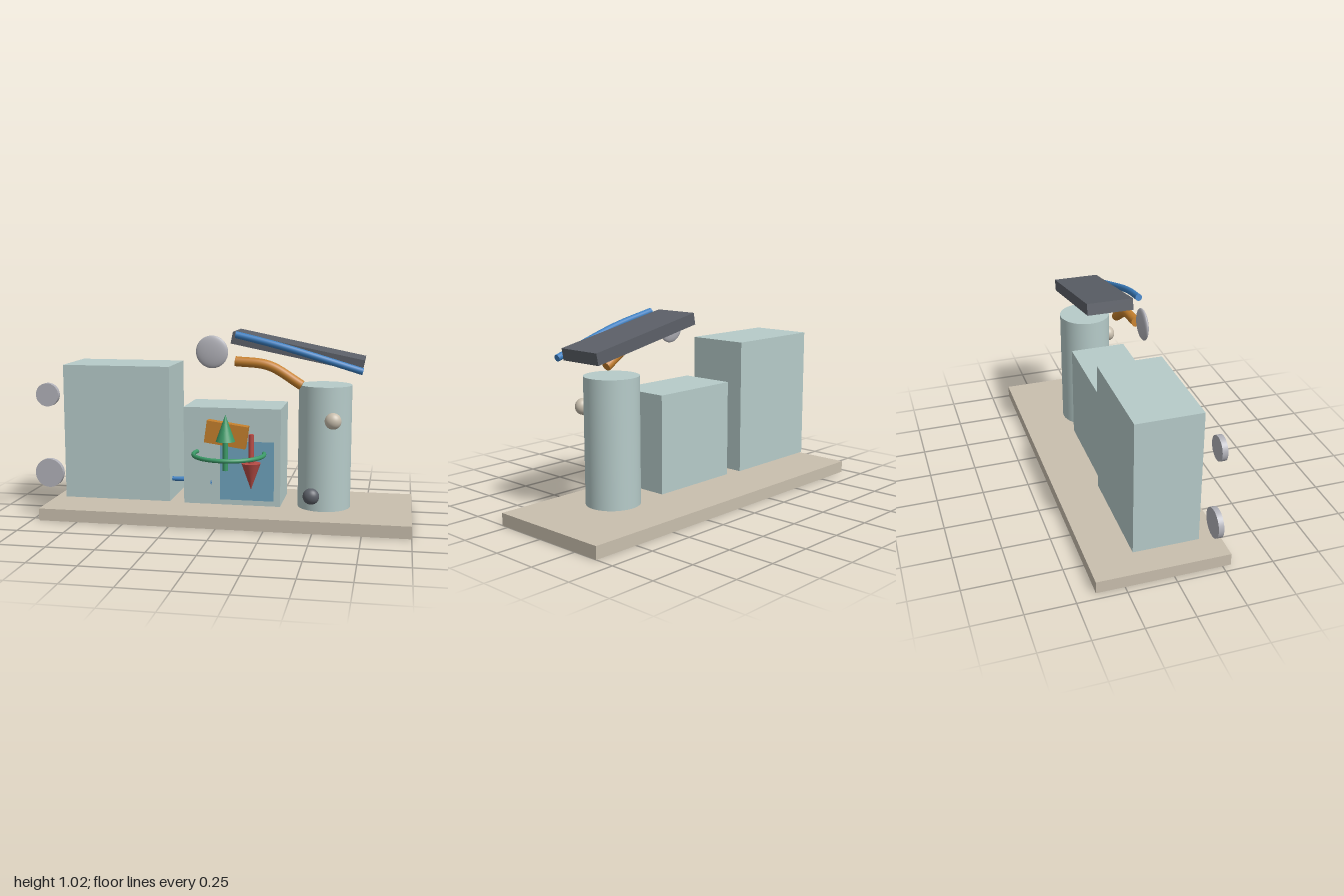
import * as THREE from 'three';

const mat = (name, color) => {
  const m = new THREE.MeshStandardMaterial({ color });
  m.name = name;
  return m;
};

export function createModel() {
  const root = new THREE.Group();
  root.name = 'model';

  const sand = mat('sand', 0xc9bfae);
  const paleTeal = mat('paleTeal', 0xb6cbc9);
  const slate = mat('slate', 0x5c6068);
  const grey = mat('grey', 0xb2b2b9);
  const cream = mat('cream', 0xc9bfae);
  const blue = mat('blue', 0x3c7fc0);
  const orange = mat('orange', 0xc47f2c);
  const green = mat('green', 0x3c9a68);
  const red = mat('red', 0xb84c46);
  const steelBlue = mat('steelBlue', 0x6fa3bd);

  const add = (name, geo, material, x = 0, y = 0, z = 0, parent = root) => {
    const m = new THREE.Mesh(geo, material);
    m.name = name;
    m.position.set(x, y, z);
    parent.add(m);
    return m;
  };

  // Box given by its extents
  const block = (name, material, x0, x1, y0, y1, z0, z1) =>
    add(name, new THREE.BoxGeometry(x1 - x0, y1 - y0, z1 - z0), material,
      (x0 + x1) / 2, (y0 + y1) / 2, (z0 + z1) / 2);

  // Arrow along +y, tail at the group origin
  const arrow = (name, material, shaft, head, headRadius, shaftRadius) => {
    const g = new THREE.Group();
    g.name = name;
    add(name + 'Shaft', new THREE.CylinderGeometry(shaftRadius, shaftRadius, shaft, 24), material, 0, shaft / 2, 0, g);
    add(name + 'Head', new THREE.ConeGeometry(headRadius, head, 32), material, 0, shaft + head / 2, 0, g);
    root.add(g);
    return g;
  };

  // Bent rod with closed ends
  const rod = (name, material, points, radius) => {
    const curve = new THREE.CatmullRomCurve3(points.map(p => new THREE.Vector3(...p)));
    const g = new THREE.Group();
    g.name = name;
    add(name + 'Body', new THREE.TubeGeometry(curve, 32, radius, 20), material, 0, 0, 0, g);
    for (const [t, sign] of [[0, -1], [1, 1]]) {
      const p = curve.getPoint(t);
      const cap = add(name + 'End', new THREE.CircleGeometry(radius, 20), material, p.x, p.y, p.z, g);
      cap.quaternion.setFromUnitVectors(new THREE.Vector3(0, 0, 1), curve.getTangent(t).multiplyScalar(sign));
    }
    root.add(g);
  };

  // Base and the three standing bodies
  block('base', sand, -0.96, 1.0, 0, 0.065, -0.395, 0.293);
  block('largeBox', paleTeal, -0.85, -0.27, 0.105, 0.825, -0.177, 0.164);
  block('smallBox', paleTeal, -0.195, 0.32, 0.098, 0.615, -0.148, 0.152);
  add('cylinder', new THREE.CylinderGeometry(0.14, 0.14, 0.655, 64), paleTeal, 0.535, 0.4025, -0.012);

  // Thin panel on the front of the small box
  block('frontPanel', steelBlue, 0, 0.286, 0.125, 0.44, 0.149, 0.1528);

  // Tilted roof slab
  add('slab', new THREE.BoxGeometry(0.69, 0.062, 0.25), slate, 0.394, 0.911, -0.005).rotation.z = -0.198;

  // Tilted block on the small box
  add('tiltedBlock', new THREE.BoxGeometry(0.218, 0.117, 0.085), orange, 0.04, 0.482, 0.163).rotation.z = -0.14;

  // Side discs
  for (const [y, r] of [[0.67, 0.062], [0.247, 0.077]])
    add('sideDisc', new THREE.CylinderGeometry(r, r, 0.028, 48), grey, -0.92, y, 0.214).rotation.x = Math.PI / 2;

  // Flattened and round knobs
  const ellipsoid = (name, material, x, y, z, r, depth) => {
    add(name, new THREE.SphereGeometry(r, 40, 28), material, x, y, z).scale.z = depth / r;
  };
  ellipsoid('flatKnob', grey, -0.045, 0.905, 0.137, 0.085, 0.019);
  ellipsoid('upperKnob', cream, 0.588, 0.56, 0.145, 0.043, 0.036);
  ellipsoid('lowerKnob', slate, 0.48, 0.16, 0.145, 0.043, 0.036);

  // Direction arrows
  arrow('upArrow', green, 0.155, 0.14, 0.05, 0.014).position.set(0.04, 0.295, 0.215);
  const down = arrow('downArrow', red, 0.15, 0.14, 0.05, 0.014);
  down.position.set(0.175, 0.49, 0.215);
  down.rotation.x = Math.PI;
  const link = arrow('linkArrow', blue, 0.24, 0.1, 0.055, 0.012);
  link.position.set(-0.29, 0.215, 0.1);
  link.rotation.z = -Math.PI / 2;

  // Ring emerging from the small box
  add('ring', new THREE.TorusGeometry(0.184, 0.011, 16, 72), green, 0.055, 0.38, 0.199).rotation.x = Math.PI / 2;

  // Bent rods beside the slab
  rod('blueRod', blue, [[0.085, 0.998, 0.16], [0.33, 0.94, 0.176], [0.735, 0.82, 0.16]], 0.018);
  rod('orangeRod', orange, [[0.08, 0.86, 0.145], [0.255, 0.84, 0.145], [0.425, 0.742, 0.145]], 0.026);

  return root;
}
